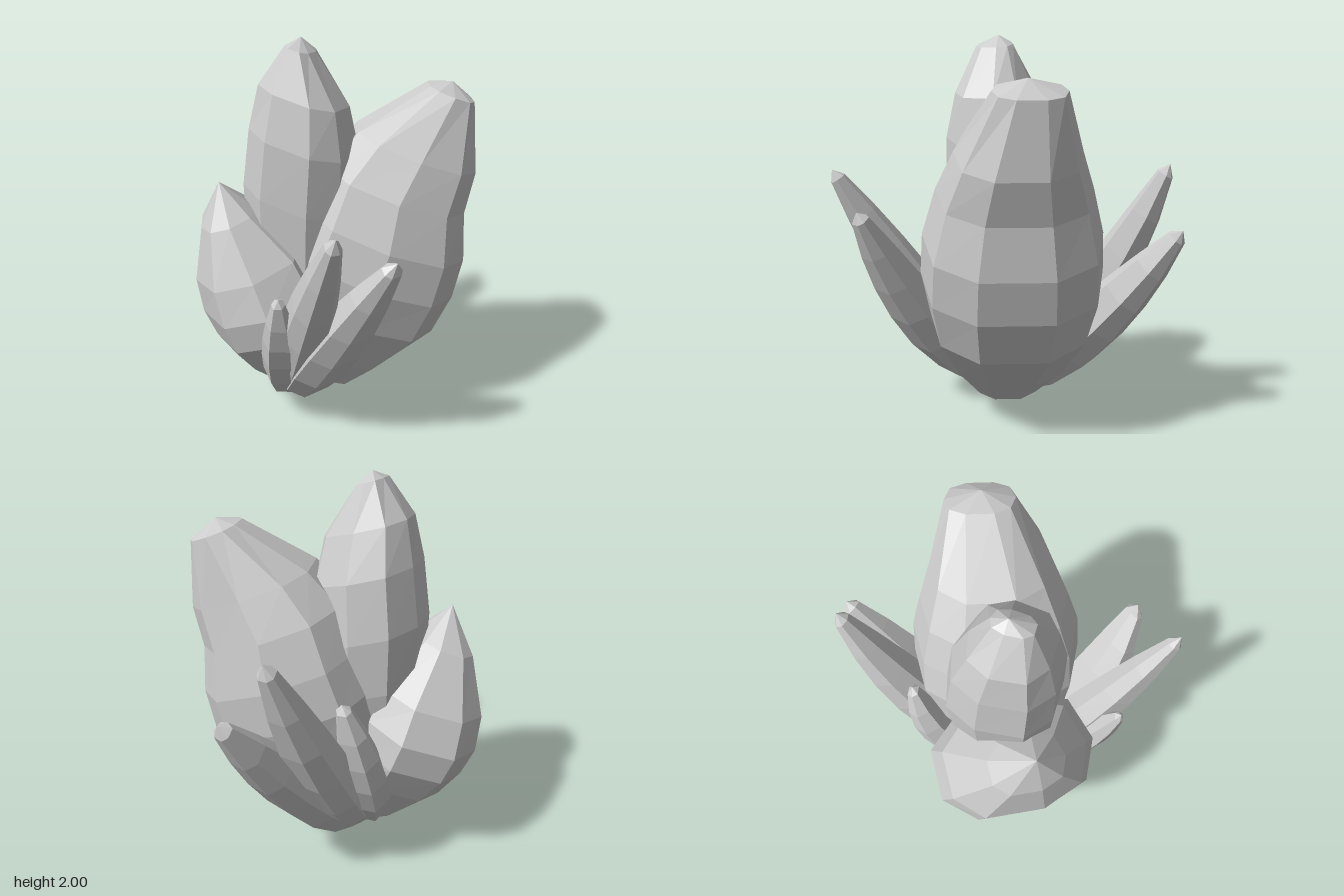
import * as THREE from 'three';

const material = new THREE.MeshStandardMaterial({ color: 0xcccccc, flatShading: true });

// Squared-off circle
const bulge = (v) => Math.sign(v) * Math.abs(v) ** 0.8;

// Faceted lobe: rings [x, y, z, rOut, rSide] skinned between a base point and a tip.
// Rings lean by `tilt` radians towards the horizontal direction (lx, lz).
function lobe(name, base, rings, tip, lx, lz, tilt, sides, phase) {
  const len = Math.hypot(lx, lz);
  const out = new THREE.Vector3((lx / len) * Math.cos(tilt), -Math.sin(tilt), (lz / len) * Math.cos(tilt));
  const side = new THREE.Vector3(lz / len, 0, -lx / len);
  const pos = [...base];
  for (const [x, y, z, rOut, rSide] of rings) {
    for (let j = 0; j < sides; j++) {
      const a = ((j + phase) / sides) * Math.PI * 2;
      const p = new THREE.Vector3(x, y, z)
        .addScaledVector(out, rOut * bulge(Math.cos(a)))
        .addScaledVector(side, rSide * bulge(Math.sin(a)));
      pos.push(p.x, p.y, p.z);
    }
  }
  pos.push(...tip);

  const last = pos.length / 3 - 1;
  const index = [];
  for (let j = 0; j < sides; j++) {
    const k = (j + 1) % sides;
    index.push(0, 1 + k, 1 + j);
    for (let i = 0; i < rings.length - 1; i++) {
      const a = 1 + i * sides, b = a + sides;
      index.push(a + j, a + k, b + k, a + j, b + k, b + j);
    }
    const top = 1 + (rings.length - 1) * sides;
    index.push(top + j, top + k, last);
  }
  const indexed = new THREE.BufferGeometry();
  indexed.setAttribute('position', new THREE.Float32BufferAttribute(pos, 3));
  indexed.setIndex(index);
  const geometry = indexed.toNonIndexed();
  geometry.computeVertexNormals();
  const mesh = new THREE.Mesh(geometry, material);
  mesh.name = name;
  return mesh;
}

// Slender lobe along a bent spine, with a shared bulging profile of [t, radius factor]
const PROFILE = [[0.06, 0.48], [0.2, 0.84], [0.38, 1], [0.55, 0.96], [0.7, 0.82], [0.84, 0.6], [0.97, 0.3]];
function slenderLobe(name, base, bend, tip, rOut, rSide, sides) {
  const v = (a) => new THREE.Vector3(...a);
  const spine = new THREE.QuadraticBezierCurve3(v(base), v(bend), v(tip));
  const rings = PROFILE.map(([t, f]) => [...spine.getPoint(t).toArray(), rOut * f, rSide * f]);
  const lx = tip[0] - base[0], lz = tip[2] - base[2];
  const tilt = Math.atan2(Math.hypot(lx, lz), tip[1] - base[1]);
  return lobe(name, base, rings, tip, lx, lz, tilt, sides, 0.5);
}

export function createModel() {
  const group = new THREE.Group();
  group.name = 'lobedCluster';

  // Tall upright lobe in the middle
  group.add(lobe('tallLobe', [-0.17, 0.04, 0], [
    [-0.16, 0.25, 0, 0.13, 0.13],
    [-0.155, 0.55, -0.01, 0.23, 0.23],
    [-0.15, 0.9, -0.02, 0.285, 0.285],
    [-0.145, 1.2, -0.02, 0.3, 0.295],
    [-0.125, 1.5, 0, 0.28, 0.27],
    [-0.125, 1.73, 0.02, 0.23, 0.2],
    [-0.14, 1.95, 0.02, 0.07, 0.1],
  ], [-0.14, 2, 0], 1, 0.35, 0.27, 9, 0.3));

  // Broad lobe leaning to +x
  group.add(lobe('broadLobe', [-0.1, 0.01, -0.08], [
    [-0.02, 0.12, -0.04, 0.17, 0.18],
    [0.05, 0.31, -0.05, 0.29, 0.31],
    [0.16, 0.58, -0.05, 0.44, 0.42],
    [0.23, 0.81, -0.055, 0.47, 0.465],
    [0.295, 1.02, -0.055, 0.45, 0.45],
    [0.34, 1.25, -0.06, 0.39, 0.385],
    [0.445, 1.435, -0.07, 0.33, 0.305],
    [0.615, 1.715, -0.11, 0.125, 0.17],
  ], [0.62, 1.77, -0.1], 1, 0, 0.34, 10, 0.5));

  // Short wide lobe leaning to -x
  group.add(lobe('shortLobe', [-0.1, 0.0, -0.06], [
    [-0.18, 0.15, -0.01, 0.15, 0.19],
    [-0.27, 0.37, 0, 0.28, 0.34],
    [-0.335, 0.55, 0.02, 0.32, 0.45],
    [-0.39, 0.7, 0.02, 0.33, 0.46],
    [-0.445, 0.87, 0.03, 0.3, 0.39],
    [-0.53, 1.11, 0.08, 0.15, 0.2],
  ], [-0.56, 1.3, 0.12], -1, 0.25, 0.32, 9, 0.2));

  // Slender lobes fanning out to the front and back
  const slender = [
    ['frontLeftLobe', [-0.18, 0.05, 0.08], [-0.06, 0.45, 0.46], [0.31, 1.13, 0.71], 0.14, 0.18, 7],
    ['frontMiddleLobe', [-0.22, 0.05, 0.08], [-0.15, 0.52, 0.43], [0.04, 1.31, 0.87], 0.14, 0.13, 7],
    ['frontSmallLobe', [-0.23, 0.04, 0.08], [-0.24, 0.42, 0.45], [-0.23, 0.89, 0.61], 0.105, 0.11, 6],
    ['backLeftLobe', [-0.1, 0.06, -0.1], [0.15, 0.42, -0.48], [0.42, 1.05, -0.87], 0.15, 0.17, 7],
    ['backMiddleLobe', [-0.12, 0.06, -0.08], [0, 0.5, -0.54], [0.21, 1.35, -0.85], 0.145, 0.155, 7],
    ['backSmallLobe', [-0.15, 0.05, -0.05], [-0.23, 0.45, -0.46], [-0.07, 1, -0.51], 0.12, 0.13, 6],
  ];
  for (const args of slender) group.add(slenderLobe(...args));

  return group;
}
